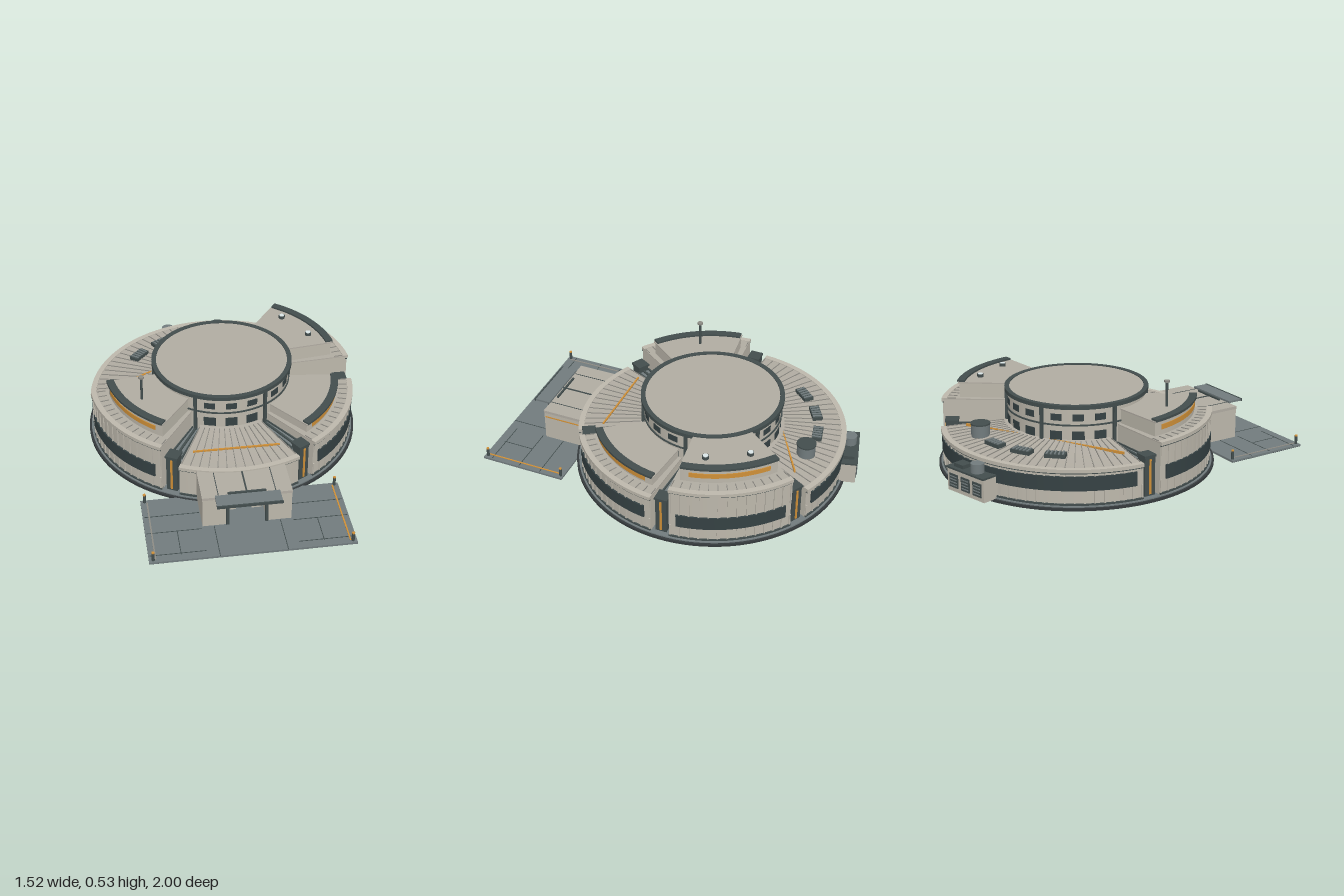
import * as THREE from 'three';
import { toCreasedNormals } from 'three/addons/utils/BufferGeometryUtils.js';

const mat = (name, color) => {
  const m = new THREE.MeshStandardMaterial({ color });
  m.name = name;
  return m;
};
const rad = THREE.MathUtils.degToRad;

export function createModel() {
  const M = {
    wall: mat('warm wall', 0xbcb7ab), roof: mat('roof panel', 0xb0aba1), trim: mat('seam trim', 0x8d8b84),
    dark: mat('dark metal', 0x424d4d), window: mat('dark glass', 0x354143), grey: mat('blue grey paving', 0x717b7d),
    orange: mat('amber stripe', 0xcf9038), pale: mat('pale glass', 0xdde8ea), base: mat('foundation', 0x353a3c),
  };
  const model = new THREE.Group();
  model.name = 'roundStation';
  const hub = new THREE.Group(); // circular building, angles run from +x towards +z
  hub.name = 'roundBuilding';
  hub.position.z = -0.17;
  model.add(hub);

  const add = (parent, name, geo, material, x = 0, y = 0, z = 0) => {
    const m = new THREE.Mesh(geo, material);
    m.name = name;
    m.position.set(x, y, z);
    parent.add(m);
    return m;
  };
  // box from its limits
  const box = (name, material, x0, x1, y0, y1, z0, z1, parent = model) =>
    add(parent, name, new THREE.BoxGeometry(x1 - x0, y1 - y0, z1 - z0), material, (x0 + x1) / 2, (y0 + y1) / 2, (z0 + z1) / 2);
  // box placed on the circle, its x side pointing outwards
  const polarBox = (name, material, r, y, a, dr, h, w) => {
    const m = add(hub, name, new THREE.BoxGeometry(dr, h, w), material, r * Math.cos(rad(a)), y, r * Math.sin(rad(a)));
    m.rotation.y = -rad(a);
    return m;
  };
  const cylinder = (name, material, r, y0, y1, x, z, parent = hub) =>
    add(parent, name, new THREE.CylinderGeometry(r, r, y1 - y0, 28), material, x, (y0 + y1) / 2, z);
  // ring sector; rise lifts the inner edge of the top
  const sector = (name, material, r0, r1, y0, y1, a0, a1, rise = 0) => {
    const s = new THREE.Shape();
    s.absarc(0, 0, r1, rad(a0), rad(a1), false);
    s.absarc(0, 0, r0, rad(a1), rad(a0), true);
    s.closePath();
    const g = new THREE.ExtrudeGeometry(s, { depth: y1 - y0, bevelEnabled: false, curveSegments: Math.ceil((a1 - a0) / 3) });
    g.rotateX(Math.PI / 2).translate(0, y1, 0);
    const p = g.attributes.position;
    for (let i = 0; rise && i < p.count; i++) {
      if (p.getY(i) > (y0 + y1) / 2 && Math.hypot(p.getX(i), p.getZ(i)) < (r0 + r1) / 2) p.setY(i, y1 + rise);
    }
    return add(hub, name, toCreasedNormals(g, 0.5), material);
  };

  // foundation
  const disc = (name, material, r, y0, y1) =>
    add(hub, name, new THREE.CylinderGeometry(r, r, y1 - y0, 96), material, 0, (y0 + y1) / 2, 0);
  disc('foundation', M.base, 0.762, 0, 0.014);
  disc('foundationStep', M.grey, 0.75, 0.014, 0.02);

  // central drum
  disc('drumWall', M.wall, 0.378, 0.02, 0.425);
  disc('drumRoof', M.roof, 0.37, 0.425, 0.429);
  sector('drumParapet', M.dark, 0.368, 0.394, 0.412, 0.433, 0, 360);
  sector('drumBand', M.dark, 0.37, 0.384, 0.318, 0.326, 0, 360);
  for (let k = 0; k < 6; k++) {
    polarBox('drumPilaster', M.dark, 0.383, 0.22, k * 60, 0.02, 0.4, 0.016);
    for (const o of [12, 30, 48]) {
      const a = k * 60 + o;
      sector('upperWindow', M.window, 0.375, 0.381, 0.346, 0.382, a - 4.5, a + 4.5);
      sector('lowerWindow', M.window, 0.375, 0.381, 0.236, 0.288, a - 5, a + 5);
    }
  }

  // shared wing wall with cornice, fins and roof seams
  const wing = (name, a0, a1, h, rise, seamIn, windowed = true) => {
    sector(name + 'Wall', M.wall, 0.37, 0.733, 0.02, h - 0.006, a0, a1);
    sector(name + 'Roof', M.roof, 0.37, 0.733, h - 0.006, h, a0, a1, rise);
    sector(name + 'Cornice', M.wall, 0.715, 0.745, h - 0.016, h + 0.003, a0, a1);
    sector(name + 'Gutter', M.dark, 0.73, 0.741, h - 0.022, h - 0.016, a0, a1);
    sector(name + 'Skirt', M.dark, 0.72, 0.74, 0.02, 0.03, a0, a1);
    if (windowed) {
      sector(name + 'Window', M.window, 0.73, 0.742, 0.1, 0.177, a0 + 3, a1 - 3);
    }
    const n = Math.round((a1 - a0) / 4);
    for (let i = 0; i <= n; i++) {
      const a = a0 + 0.5 + (a1 - a0 - 1) * i / n;
      if (windowed) {
        polarBox('lowerFin', M.wall, 0.735, 0.065, a, 0.008, 0.07, 0.008);
        polarBox('upperFin', M.wall, 0.735, (h + 0.155) / 2, a, 0.008, h - 0.199, 0.008);
      }
      const seam = polarBox('roofSeam', M.trim, (seamIn + 0.712) / 2, h + rise * (0.733 - (seamIn + 0.712) / 2) / 0.363 + 0.002,
        a, 0.712 - seamIn, 0.004, 0.004);
      seam.rotation.z = -Math.atan(rise / 0.363);
    }
  };
  wing('frontWing', 64, 116, 0.205, 0.025, 0.4, false);
  wing('backWing', 184, 296, 0.213, 0.03, 0.4);

  // taller wings with a raised clerestory
  const tall = [['leftFront', 4, 0.25, 0.307], ['leftBack', 304, 0.34, 0.43], ['rightFront', 124, 0.305, 0.39]];
  for (const [name, a0, h, top] of tall) {
    wing(name + 'Wing', a0, a0 + 52, h, 0, 0.665);
    sector(name + 'Clerestory', M.wall, 0.37, 0.648, h, top - 0.008, a0 + 3, a0 + 49);
    sector(name + 'ClerestoryRoof', M.roof, 0.37, 0.656, top - 0.01, top - 0.003, a0 + 2.5, a0 + 49.5);
    sector(name + 'Parapet', M.dark, 0.618, 0.66, top - 0.006, top + 0.007, a0 + 3, a0 + 49);
    const mid = (h + top) / 2;
    sector(name + 'AmberBand', M.orange, 0.645, 0.652, mid - 0.014, mid + 0.014, a0 + 7, a0 + 45);
  }

  // glazed links with dark columns between the wings
  for (const a of [0, 60, 120, 180, 300]) {
    sector('linkGlass', M.pale, 0.37, 0.63, 0.02, 0.19, a - 3.6, a + 3.6);
    sector('linkRoof', M.grey, 0.37, 0.66, 0.19, 0.2, a - 4, a + 4);
    for (const s of [-1, 1]) sector('linkRoofEdge', M.dark, 0.37, 0.66, 0.2, 0.208, a + s * 3 - 0.4, a + s * 3 + 0.4);
    polarBox('linkSpine', M.dark, 0.52, 0.203, a, 0.28, 0.01, 0.012);
    polarBox('column', M.dark, 0.685, 0.127, a, 0.065, 0.215, 0.062);
    polarBox('columnCap', M.dark, 0.685, 0.236, a, 0.075, 0.012, 0.072);
    polarBox('columnStripe', M.orange, 0.719, 0.125, a, 0.006, 0.19, 0.012);
  }

  // roof fittings
  for (const [x, z] of [[0.413, -0.375], [0.53, -0.172]]) {
    cylinder('roofVent', M.dark, 0.018, 0.425, 0.444, x, z);
    cylinder('roofVentCap', M.pale, 0.014, 0.444, 0.447, x, z);
  }
  cylinder('antennaMast', M.dark, 0.007, 0.38, 0.525, -0.475, 0.27);
  cylinder('antennaTip', M.trim, 0.015, 0.522, 0.532, -0.475, 0.27);
  for (const a of [222, 240, 258]) {
    polarBox('louverUnit', M.dark, 0.586, 0.235, a, 0.055, 0.02, 0.11);
    for (let i = -2; i <= 2; i++) polarBox('louverSlat', M.grey, 0.586, 0.247, a + i * 2, 0.05, 0.006, 0.008);
  }
  cylinder('roofTank', M.grey, 0.05, 0.215, 0.29, 0.056, -0.566);
  cylinder('roofTankLid', M.dark, 0.053, 0.29, 0.298, 0.056, -0.566);
  box('frontRoofStripe', M.orange, -0.235, 0.235, 0.212, 0.223, 0.556, 0.564, hub);
  const stripe = polarBox('backRoofStripe', M.orange, 0.372, 0.235, 240, 0.008, 0.014, 0.96);
  stripe.position.y = 0.233;

  // service block at the back
  const service = new THREE.Group();
  service.name = 'serviceBlock';
  service.position.set(-0.185, 0, -0.745);
  service.rotation.y = Math.PI + rad(14);
  hub.add(service);
  box('serviceBody', M.wall, -0.14, 0.14, 0.012, 0.135, -0.05, 0.045, service);
  box('serviceTop', M.dark, -0.143, 0.143, 0.135, 0.145, -0.053, 0.051, service);
  for (const x of [-0.09, 0, 0.09]) {
    box('serviceGrille', M.dark, x - 0.033, x + 0.033, 0.035, 0.11, 0.04, 0.049, service);
    for (let i = 0; i < 4; i++) box('grilleSlat', M.grey, x - 0.025, x + 0.025, 0.046 + i * 0.016, 0.051 + i * 0.016, 0.045, 0.052, service);
  }
  cylinder('serviceFan', M.grey, 0.036, 0.145, 0.195, 0.045, 0, service);
  box('serviceHatch', M.dark, -0.105, -0.035, 0.145, 0.165, -0.03, 0.03, service);

  // forecourt
  box('forecourt', M.grey, -0.537, 0.537, 0.002, 0.013, 0.51, 1);
  box('forecourtUnderside', M.base, -0.535, 0.535, 0, 0.002, 0.512, 0.998);
  for (const s of [-1, 1]) {
    box('pavingJoint', M.dark, s * 0.175 - 0.002, s * 0.175 + 0.002, 0.012, 0.0145, 0.77, 1);
    box('pavingJoint', M.dark, s * 0.37 - 0.002, s * 0.37 + 0.002, 0.012, 0.0145, 0.78, 0.96);
    for (const z of [0.65, 0.78, 0.95]) {
      box('pavingJoint', M.dark, s * 0.385 - 0.145, s * 0.385 + 0.145, 0.012, 0.0145, z - 0.002, z + 0.002);
    }
    box('forecourtLine', s > 0 ? M.orange : M.trim, s * 0.503 - 0.004, s * 0.503 + 0.004, 0.012, 0.016, 0.53, 0.98);
    for (const z of [0.525, 0.982]) {
      cylinder('bollard', M.dark, 0.008, 0.012, 0.06, s * 0.515, z, model);
      cylinder('bollardCap', M.orange, 0.008, 0.06, 0.066, s * 0.515, z, model);
    }
  }

  // entrance hall
  for (const s of [-1, 1]) {
    box('entranceSide', M.wall, s * 0.17 - 0.065, s * 0.17 + 0.065, 0.013, 0.186, 0.42, 0.762);
    box('doorFrame', M.dark, s * 0.103 - 0.008, s * 0.103 + 0.008, 0.013, 0.186, 0.755, 0.768);
    box('canopyBracket', M.dark, s * 0.15 - 0.005, s * 0.15 + 0.005, 0.165, 0.2, 0.765, 0.78);
    box('roofJoint', M.dark, s * 0.15 - 0.002, s * 0.15 + 0.002, 0.198, 0.202, 0.53, 0.76);
    box('sideWindow', M.pale, s * 0.275 - 0.035, s * 0.275 + 0.035, 0.08, 0.14, 0.482, 0.49);
    box('deskScreen', M.pale, s * 0.065 - 0.028, s * 0.065 + 0.028, 0.09, 0.135, 0.625, 0.633);
    box('screenStand', M.dark, s * 0.065 - 0.03, s * 0.065 + 0.03, 0.076, 0.138, 0.615, 0.625);
    box('sideDesk', M.wall, s * 0.068 - 0.027, s * 0.068 + 0.027, 0.013, 0.075, 0.6, 0.65);
  }
  box('sideStripe', M.orange, 0.233, 0.238, 0.155, 0.162, 0.53, 0.755);
  box('entranceRoof', M.roof, -0.237, 0.237, 0.184, 0.2, 0.42, 0.764);
  box('roofRidge', M.dark, -0.004, 0.004, 0.198, 0.204, 0.53, 0.76);
  box('roofLightBar', M.dark, -0.1, 0.1, 0.2, 0.21, 0.74, 0.75);
  box('backGlass', M.pale, -0.105, 0.105, 0.02, 0.184, 0.566, 0.574);
  box('receptionDesk', M.dark, -0.045, 0.045, 0.013, 0.06, 0.59, 0.64);
  box('canopy', M.grey, -0.17, 0.17, 0.2, 0.211, 0.762, 0.853);
  box('canopyEdge', M.dark, -0.172, 0.172, 0.198, 0.213, 0.848, 0.856);
  return model;
}
